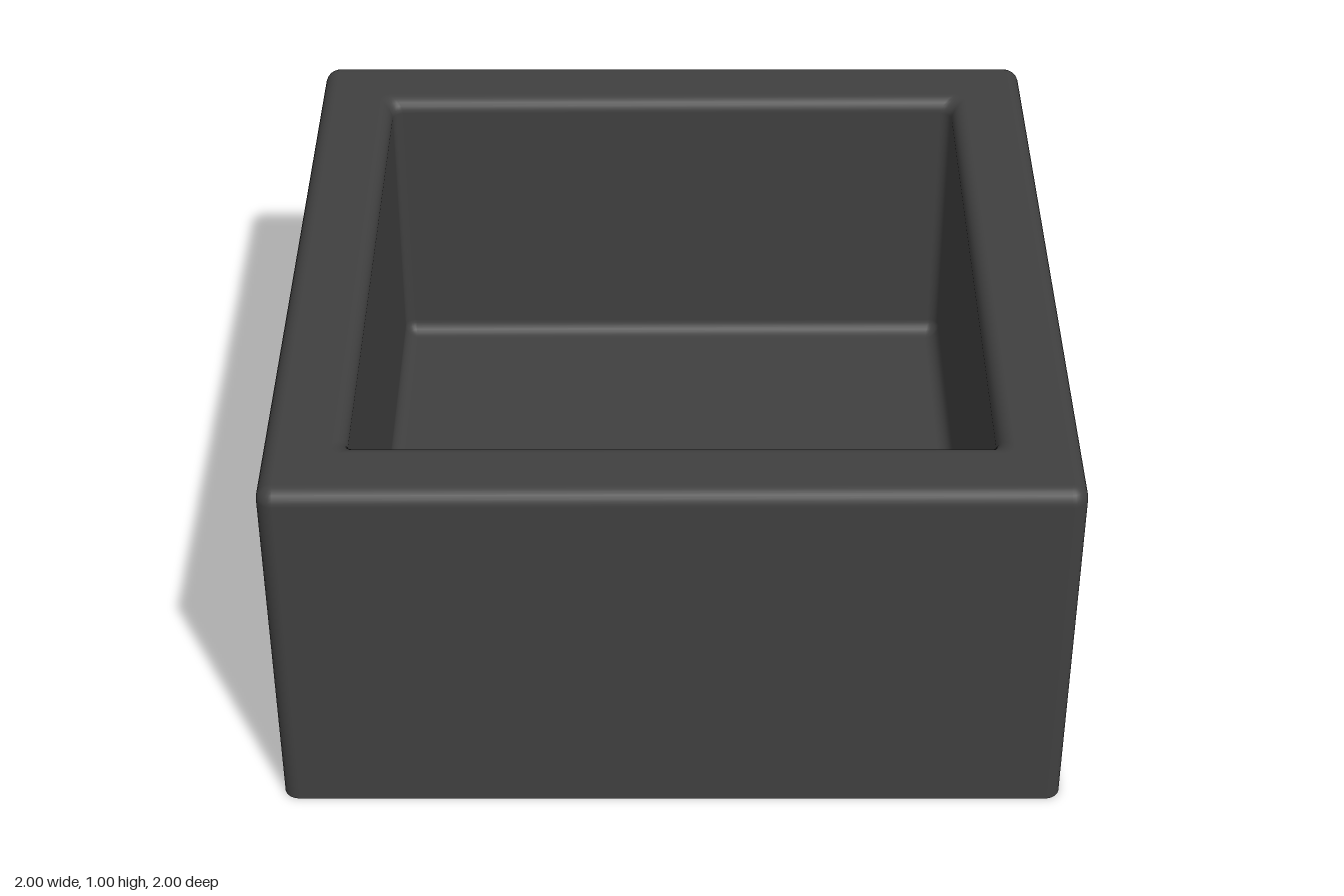
import * as THREE from 'three';

const CORNER_STEPS = 6;
const EDGE_STEPS = 6;

// Horizontal cross-section: a square ring with rounded corners
function roundedSquare(half, radius, y) {
  const points = [];
  for (let corner = 0; corner < 4; corner++) {
    const mid = (corner + 0.5) * Math.PI / 2;
    const cx = Math.sign(Math.cos(mid)) * (half - radius);
    const cz = Math.sign(Math.sin(mid)) * (half - radius);
    for (let s = 0; s <= CORNER_STEPS; s++) {
      const a = (corner + s / CORNER_STEPS) * Math.PI / 2;
      points.push(cx + radius * Math.cos(a), y, cz + radius * Math.sin(a));
    }
  }
  return points;
}

// Skin stacked rings, then close the last one as the floor
function skinRings(rings) {
  const n = rings[0].length / 3;
  const positions = rings.flat();
  const index = [];
  for (let i = 0; i < rings.length - 1; i++) {
    for (let j = 0; j < n; j++) {
      const k = (j + 1) % n;
      const a = i * n + j, b = i * n + k, c = a + n, d = b + n;
      index.push(a, c, b, b, c, d);
    }
  }
  const last = (rings.length - 1) * n;
  const centre = positions.length / 3;
  positions.push(0, positions[last * 3 + 1], 0);
  for (let j = 0; j < n; j++) index.push(last + j, centre, last + (j + 1) % n);

  const geometry = new THREE.BufferGeometry();
  geometry.setAttribute('position', new THREE.Float32BufferAttribute(positions, 3));
  geometry.setIndex(index);
  geometry.computeVertexNormals();
  return geometry;
}

export function createModel() {
  const outer = 1, height = 1, inner = 0.795, floorY = 0.2, r = 0.04;
  const rings = [roundedSquare(outer, r, 0)];
  const quarter = (fn) => {
    for (let s = 0; s <= EDGE_STEPS; s++) {
      const a = s / EDGE_STEPS * Math.PI / 2;
      fn(Math.sin(a), 1 - Math.cos(a));
    }
  };

  // Outer wall rounding over onto the rim
  quarter((up, inward) => rings.push(
    roundedSquare(outer - r * inward, r * (1.05 - inward), height - r + r * up)));
  // Rim rounding down into the cavity
  quarter((inward, down) => rings.push(
    roundedSquare(inner + r - r * inward, 0.03, height - r * down)));
  // Cavity wall curving into the floor
  quarter((down, inward) => rings.push(
    roundedSquare(inner - r * inward, 0.03 * (1.05 - inward), floorY + r - r * down)));

  // One thin shell, open underneath
  const material = new THREE.MeshStandardMaterial({ color: 0x404040, side: THREE.DoubleSide });
  const shell = new THREE.Mesh(skinRings(rings), material);
  shell.name = 'planterShell';

  const group = new THREE.Group();
  group.name = 'squarePlanter';
  group.add(shell);
  return group;
}
